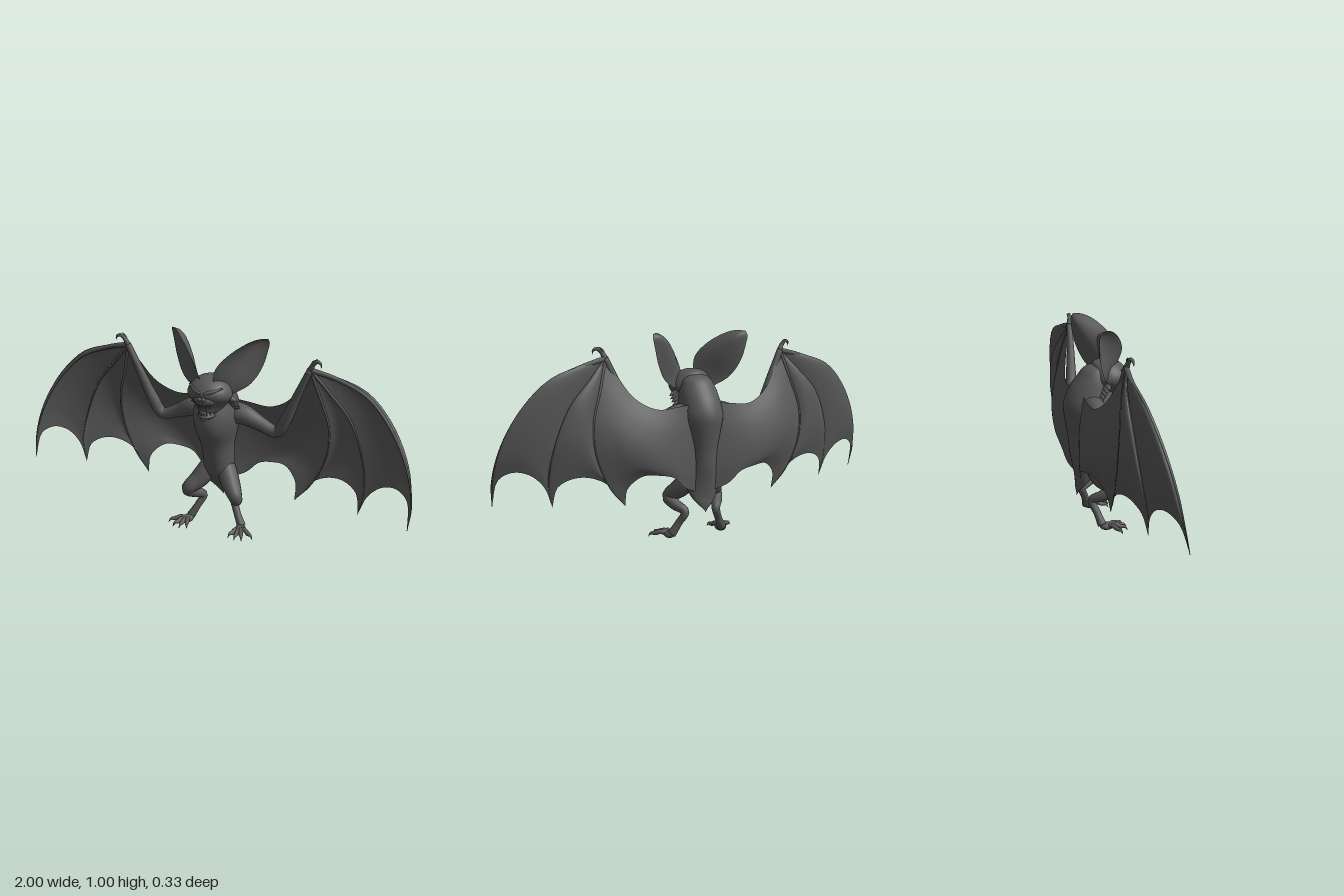
import * as THREE from 'three';
import { mergeVertices } from 'three/addons/utils/BufferGeometryUtils.js';

const hide = new THREE.MeshStandardMaterial({ color: 0x585858, side: THREE.DoubleSide });
hide.name = 'dark grey hide';

const vec = (p) => new THREE.Vector3(...p);
const curve = (pts) => new THREE.CatmullRomCurve3(pts.map(vec), false, 'centripetal');

function add(parent, name, geometry) {
  const mesh = new THREE.Mesh(geometry, hide);
  mesh.name = name;
  parent.add(mesh);
  return mesh;
}

// smooth surface from a rule point(u, v)
function surface(point, nu, nv) {
  const pos = [], index = [];
  for (let j = 0; j <= nv; j++) {
    for (let i = 0; i <= nu; i++) pos.push(...point(i / nu, j / nv).toArray());
  }
  for (let j = 0; j < nv; j++) {
    for (let i = 0; i < nu; i++) {
      const a = j * (nu + 1) + i, b = a + nu + 1;
      index.push(a, a + 1, b, a + 1, b + 1, b);
    }
  }
  let g = new THREE.BufferGeometry();
  g.setAttribute('position', new THREE.Float32BufferAttribute(pos, 3));
  g.setIndex(index);
  g = mergeVertices(g, 1e-5);
  g.computeVertexNormals();
  return g;
}

// stack of horizontal ellipses; each row is [y, centre z, half width, half depth]
function loft(rows) {
  const spine = curve(rows.map(([y, z]) => [0, y, z]));
  const size = new THREE.SplineCurve(rows.map((r) => new THREE.Vector2(r[2], r[3])));
  spine.curveType = 'catmullrom';
  return surface((u, v) => {
    const c = spine.getPoint(v), s = size.getPoint(v), a = -u * Math.PI * 2;
    return new THREE.Vector3(c.x + Math.cos(a) * Math.max(s.x, 0), c.y, c.z + Math.sin(a) * Math.max(s.y, 0));
  }, 32, 48);
}

// round limb along a path with a radius at each point, closed at both ends
function limb(pts, radii, steps = 20, sides = 10) {
  const path = curve(pts), frames = path.computeFrenetFrames(steps);
  const rad = new THREE.SplineCurve(radii.map((r, i) => new THREE.Vector2(i, r)));
  return surface((u, v) => {
    const row = Math.round(v * (steps + 2)) - 1;
    const k = Math.min(Math.max(row, 0), steps);
    const r = row === k ? rad.getPoint(path.getUtoTmapping(k / steps)).y : 0;
    const a = u * Math.PI * 2;
    return path.getPointAt(k / steps)
      .addScaledVector(frames.normals[k], Math.cos(a) * r)
      .addScaledVector(frames.binormals[k], Math.sin(a) * r);
  }, sides, steps + 2);
}

// patch filling four edge curves, pushed by sag in its middle
function patch(left, right, top, bottom, sag, nu = 20, nv = 24) {
  const [L, R, T, B] = [left, right, top, bottom].map(curve);
  const c00 = L.getPoint(0), c10 = R.getPoint(0), c01 = L.getPoint(1), c11 = R.getPoint(1);
  return surface((u, v) => new THREE.Vector3()
    .addScaledVector(T.getPoint(u), 1 - v).addScaledVector(B.getPoint(u), v)
    .addScaledVector(L.getPoint(v), 1 - u).addScaledVector(R.getPoint(v), u)
    .addScaledVector(c00, -(1 - u) * (1 - v)).addScaledVector(c10, -u * (1 - v))
    .addScaledVector(c01, -(1 - u) * v).addScaledVector(c11, -u * v)
    .addScaledVector(vec(sag), Math.sin(Math.PI * u) * Math.sin(Math.PI * v)), nu, nv);
}

function ball(parent, name, p, s) {
  const m = add(parent, name, new THREE.SphereGeometry(1, 20, 14));
  m.position.set(...p);
  m.scale.set(...s);
}

function buildWing(side) {
  const wing = new THREE.Group();
  wing.name = 'wing';
  side.add(wing);
  const wrist = [0.47, 0.895, -0.005];
  const fingers = [
    [wrist, [0.6, 0.86, -0.02], [0.75, 0.795, -0.01], [0.88, 0.655, 0.02], [0.96, 0.5, 0.05], [0.995, 0.35, 0.075], [0.99, 0.24, 0.1]],
    [wrist, [0.56, 0.79, -0.025], [0.66, 0.67, -0.033], [0.735, 0.48, -0.02], [0.755, 0.34, 0], [0.735, 0.225, 0.012]],
    [wrist, [0.51, 0.76, -0.037], [0.555, 0.6, -0.06], [0.545, 0.45, -0.068], [0.48, 0.3, -0.062], [0.4, 0.205, -0.05]],
  ];
  fingers.forEach((f, n) => add(wing, 'wingFinger',
    limb(f, f.map((_, i) => (n ? 0.008 : 0.013) * (1 - 0.88 * i / (f.length - 1))), 36, 8)));

  // membrane panels between the fingers, with scalloped trailing edges
  const point = [wrist, wrist];
  add(wing, 'outerMembrane', patch(fingers[1], fingers[0], point,
    [fingers[1][5], [0.775, 0.325, 0.005], [0.84, 0.385, 0.01], [0.91, 0.4, 0.03], [0.97, 0.365, 0.06], fingers[0][6]], [0, 0, -0.008]));
  add(wing, 'middleMembrane', patch(fingers[2], fingers[1], point,
    [fingers[2][5], [0.47, 0.3, -0.062], [0.55, 0.35, -0.057], [0.64, 0.36, -0.04], [0.715, 0.32, -0.012], fingers[1][5]], [0, 0, -0.005]));
  add(wing, 'innerMembrane', patch(
    [[0.05, 0.67, -0.085], [0.05, 0.5, -0.1], [0.04, 0.36, -0.1], [0.04, 0.24, -0.09]], fingers[2],
    [[0.05, 0.67, -0.085], [0.14, 0.66, -0.09], [0.25, 0.655, -0.085], [0.35, 0.71, -0.06], [0.42, 0.81, -0.03], wrist],
    [[0.04, 0.24, -0.09], [0.12, 0.275, -0.115], [0.18, 0.33, -0.127], [0.25, 0.348, -0.125], [0.33, 0.35, -0.105], [0.395, 0.29, -0.07], fingers[2][5]],
    [0, 0, -0.006], 32));

  // arm and hooked thumb
  add(wing, 'arm', limb(
    [[0.05, 0.61, -0.045], [0.13, 0.612, -0.04], [0.22, 0.575, -0.045], [0.305, 0.55, -0.04], [0.35, 0.62, -0.03], [0.41, 0.76, -0.015], wrist],
    [0.06, 0.05, 0.035, 0.028, 0.028, 0.02, 0.015], 40, 14));
  add(wing, 'thumb', limb([wrist, [0.487, 0.925, 0], [0.505, 0.94, 0.003], [0.523, 0.933, 0.008], [0.528, 0.915, 0.01]], [0.014, 0.01, 0.009, 0.006, 0.001], 16));
  add(wing, 'thumbSpur', limb([[0.475, 0.9, 0], [0.485, 0.935, -0.005], [0.503, 0.948, -0.01]], [0.01, 0.006, 0.001], 8));
}

function buildLeg(side) {
  const leg = new THREE.Group();
  leg.name = 'leg';
  side.add(leg);
  add(leg, 'legLimb', limb(
    [[0.04, 0.32, -0.04], [0.085, 0.25, 0], [0.13, 0.2, 0.042], [0.115, 0.168, 0], [0.085, 0.138, -0.047], [0.11, 0.08, -0.027], [0.14, 0.025, -0.01]],
    [0.05, 0.047, 0.033, 0.028, 0.021, 0.018, 0.022], 40, 14));
  ball(leg, 'footPad', [0.143, 0.02, 0.012], [0.026, 0.019, 0.035]);
  // splayed toes ending in curved claws
  [[0.115, 0.095], [0.15, 0.105], [0.185, 0.1], [0.225, 0.065]].forEach(([x, z]) => {
    const at = (t, y) => [0.145 + (x - 0.145) * t, y, 0.015 + (z - 0.015) * t];
    add(leg, 'toe', limb([at(0, 0.02), at(0.4, 0.03), at(0.7, 0.022), at(0.9, 0.022), at(1.05, 0.005)], [0.014, 0.012, 0.011, 0.007, 0.001], 14, 8));
  });
}

function buildEar(side) {
  const tip = [0.248, 1, -0.045];
  const inner = [[0.03, 0.79, 0.09], [0.05, 0.87, 0.112], [0.1, 0.935, 0.085], [0.175, 0.99, 0.025], [0.215, 1.003, -0.015], tip];
  const outer = [[0.1, 0.73, 0.02], [0.175, 0.78, -0.015], [0.222, 0.86, -0.045], [0.244, 0.94, -0.056], [0.252, 0.98, -0.055], tip];
  const base = [inner[0], [0.06, 0.75, 0.055], outer[0]];
  add(side, 'earFront', patch(inner, outer, base, [tip, tip], [-0.02, 0, -0.015]));
  add(side, 'earBack', patch(inner, outer, base, [tip, tip], [-0.035, 0, -0.03]));
}

function buildFaceSide(side) {
  ball(side, 'eye', [0.052, 0.75, 0.132], [0.013, 0.007, 0.01]);
  add(side, 'brow', limb([[0.008, 0.758, 0.147], [0.04, 0.767, 0.137], [0.085, 0.782, 0.1]], [0.008, 0.009, 0.004], 12));
  ball(side, 'nostril', [0.01, 0.732, 0.155], [0.011, 0.01, 0.009]);
  // teeth along both jaws, longest at the canine
  [0.006, 0.018, 0.029, 0.037].forEach((x, i) => {
    const z = 0.148 - i * i * 0.005, h = i === 1 ? 0.026 : 0.013;
    add(side, 'upperTooth', limb([[x, 0.702, z], [x, 0.695 - h, z]], [0.005, 0.0005], 4, 6));
    add(side, 'lowerTooth', limb([[x, 0.648, z - 0.008], [x, 0.656 + h * 0.6, z - 0.006]], [0.005, 0.0005], 4, 6));
  });
  // ragged fur around cheek and neck
  for (let i = 0; i < 6; i++) {
    const y = 0.715 - i * 0.014, x = 0.075 - i * 0.001, z = 0.03 - i * 0.009;
    add(side, 'furTuft', limb([[x, y, z], [x + 0.033, y - 0.008, z], [x + 0.056, y - 0.018, z - 0.005]], [0.02, 0.012, 0.001], 6, 6));
  }
}

export function createModel() {
  const bat = new THREE.Group();
  bat.name = 'bat';

  // hunched trunk tapering into a pointed tail
  add(bat, 'body', loft([
    [0.14, -0.1, 0.001, 0.001], [0.18, -0.092, 0.038, 0.012], [0.22, -0.075, 0.068, 0.03], [0.28, -0.05, 0.08, 0.065],
    [0.36, -0.045, 0.075, 0.087], [0.45, -0.037, 0.08, 0.105], [0.54, -0.023, 0.102, 0.133], [0.61, -0.025, 0.112, 0.137],
    [0.68, -0.025, 0.1, 0.112], [0.74, -0.015, 0.085, 0.08], [0.785, 0, 0.06, 0.055], [0.81, 0.01, 0, 0]]));

  // head with a wide brow, short muzzle and open jaw
  const head = new THREE.Group();
  head.name = 'head';
  bat.add(head);
  add(head, 'skull', loft([
    [0.61, 0.05, 0, 0], [0.635, 0.05, 0.04, 0.058], [0.685, 0.05, 0.08, 0.068], [0.725, 0.057, 0.107, 0.09],
    [0.755, 0.06, 0.106, 0.093], [0.785, 0.055, 0.088, 0.08], [0.808, 0.047, 0.062, 0.06], [0.82, 0.045, 0.03, 0.03], [0.823, 0.045, 0, 0]]));
  ball(head, 'muzzle', [0, 0.722, 0.105], [0.062, 0.034, 0.056]);
  ball(head, 'noseBridge', [0, 0.752, 0.12], [0.03, 0.028, 0.036]);
  ball(head, 'lowerJaw', [0, 0.64, 0.095], [0.043, 0.02, 0.054]);
  ball(head, 'chin', [0, 0.63, 0.132], [0.016, 0.013, 0.017]);

  // both halves
  [1, -1].forEach((s) => {
    const side = new THREE.Group();
    side.name = s > 0 ? 'leftSide' : 'rightSide';
    side.scale.x = s;
    bat.add(side);
    buildWing(side);
    buildLeg(side);
    buildEar(side);
    buildFaceSide(side);
  });
  return bat;
}
